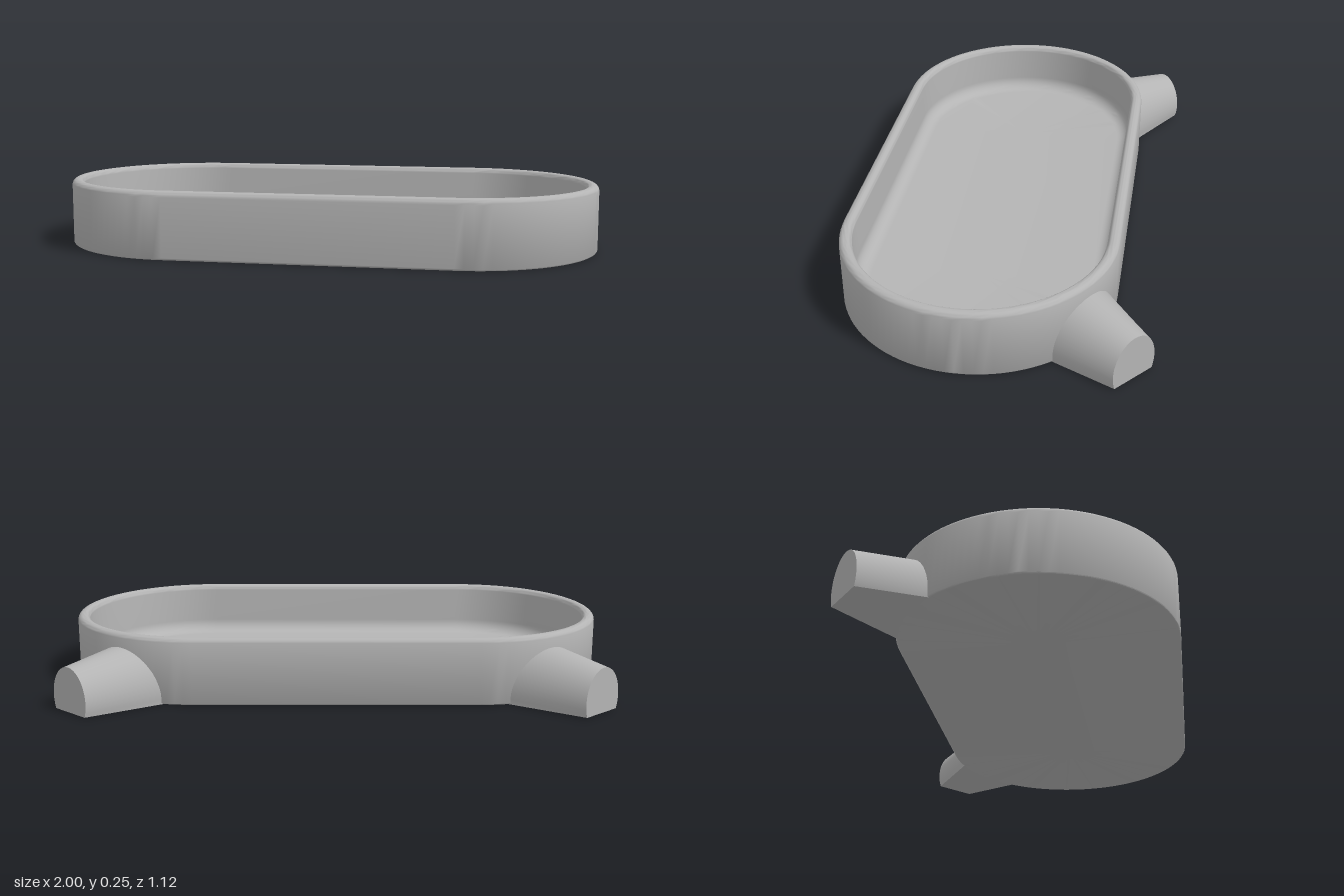
import * as THREE from 'three';
import { toCreasedNormals } from 'three/addons/utils/BufferGeometryUtils.js';

const R = 0.4875;        // outer end radius of the tray
const HALF = 1 - R;      // half length of its straight sides
const CZ = 0.0725;       // tray centre in z
const TOP = 0.245;

function build(points, triangles, crease) {
  const geometry = new THREE.BufferGeometry();
  geometry.setAttribute('position', new THREE.Float32BufferAttribute(points.flat(), 3));
  geometry.setIndex(triangles.flat());
  return toCreasedNormals(geometry, crease);
}

// Quarter-round of profile points [inset, y] around a centre
function fillet(inset, y, r, from, to, steps) {
  return Array.from({ length: steps + 1 }, (_, i) => {
    const a = from + ((to - from) * i) / steps;
    return [inset + r * Math.cos(a), y + r * Math.sin(a)];
  });
}

// Wall and floor profile swept around a stadium outline
function trayGeometry() {
  const wall = 0.045, floor = 0.045, P = Math.PI;
  const profile = [
    [R, 0],
    ...fillet(0.008, 0.008, 0.008, 1.5 * P, P, 4),
    ...fillet(0.022, TOP - 0.022, 0.022, P, P / 2, 6),
    ...fillet(wall - 0.02, TOP - 0.02, 0.02, P / 2, 0, 6),
    ...fillet(wall + 0.05, floor + 0.05, 0.05, P, 1.5 * P, 8),
    [R, floor],
  ];
  const half = 48, ring = 2 * (half + 1);
  const points = [], triangles = [];
  for (const [inset, y] of profile) {
    for (let side = 0; side < 2; side++) {
      for (let k = 0; k <= half; k++) {
        const a = -P / 2 + P * side + (P * k) / half;
        points.push([
          (side ? -HALF : HALF) + (R - inset) * Math.cos(a),
          y,
          CZ + (R - inset) * Math.sin(a),
        ]);
      }
    }
  }
  for (let i = 0; i < profile.length - 1; i++) {
    for (let k = 0; k < ring; k++) {
      const n = (k + 1) % ring;
      const a = i * ring + k, b = i * ring + n, c = a + ring, d = b + ring;
      triangles.push([a, c, b], [b, c, d]);
    }
  }
  return build(points, triangles, 0.6);
}

// Arched, tapering foot whose inner end follows the curved tray wall
function footGeometry(sign) {
  const n = 32, tip = [0.928, -0.5], dir = [0.664, -0.747];
  const at = (t, s) => {
    const cy = 0.05 - 0.12 * s, ry = 0.115 + 0.25 * s, rx = 0.092 + 0.26 * s;
    const start = -Math.asin(cy / ry);
    const a = start + (Math.PI - 2 * start) * t;
    const u = rx * Math.cos(a);
    return [
      tip[0] - dir[0] * s - dir[1] * u,
      Math.max(0, cy + ry * Math.sin(a)),
      tip[1] - dir[1] * s + dir[0] * u,
    ];
  };
  const reach = (t) => {
    let lo = 0, hi = 0.38;
    for (let i = 0; i < 30; i++) {
      const mid = (lo + hi) / 2, p = at(t, mid);
      const d = Math.hypot(Math.max(0, p[0] - HALF), p[2] - CZ);
      if (d > R - 0.022) lo = mid; else hi = mid;
    }
    return lo;
  };
  const points = [], triangles = [];
  for (let i = 0; i <= n; i++) points.push(at(i / n, 0));
  for (let i = 0; i <= n; i++) points.push(at(i / n, reach(i / n)));
  const centre = points.push([tip[0], 0.06, tip[1]]) - 1;
  for (let i = 0; i <= n; i++) {
    const j = (i + 1) % (n + 1), k = n + 1;
    triangles.push([i, j, i + k], [j, j + k, i + k], [centre, j, i]);
  }
  return build(
    points.map(([x, y, z]) => [sign * x, y, z]),
    triangles.map(([a, b, c]) => (sign > 0 ? [a, b, c] : [a, c, b])),
    0.6
  );
}

export function createModel() {
  const model = new THREE.Group();
  model.name = 'trayWithFeet';
  const grey = new THREE.MeshStandardMaterial({ color: 0xb4b4b4 });
  grey.name = 'grey';

  const add = (name, geometry) => {
    const mesh = new THREE.Mesh(geometry, grey);
    mesh.name = name;
    model.add(mesh);
  };
  add('tray', trayGeometry());
  add('leftFoot', footGeometry(1));
  add('rightFoot', footGeometry(-1));
  return model;
}
